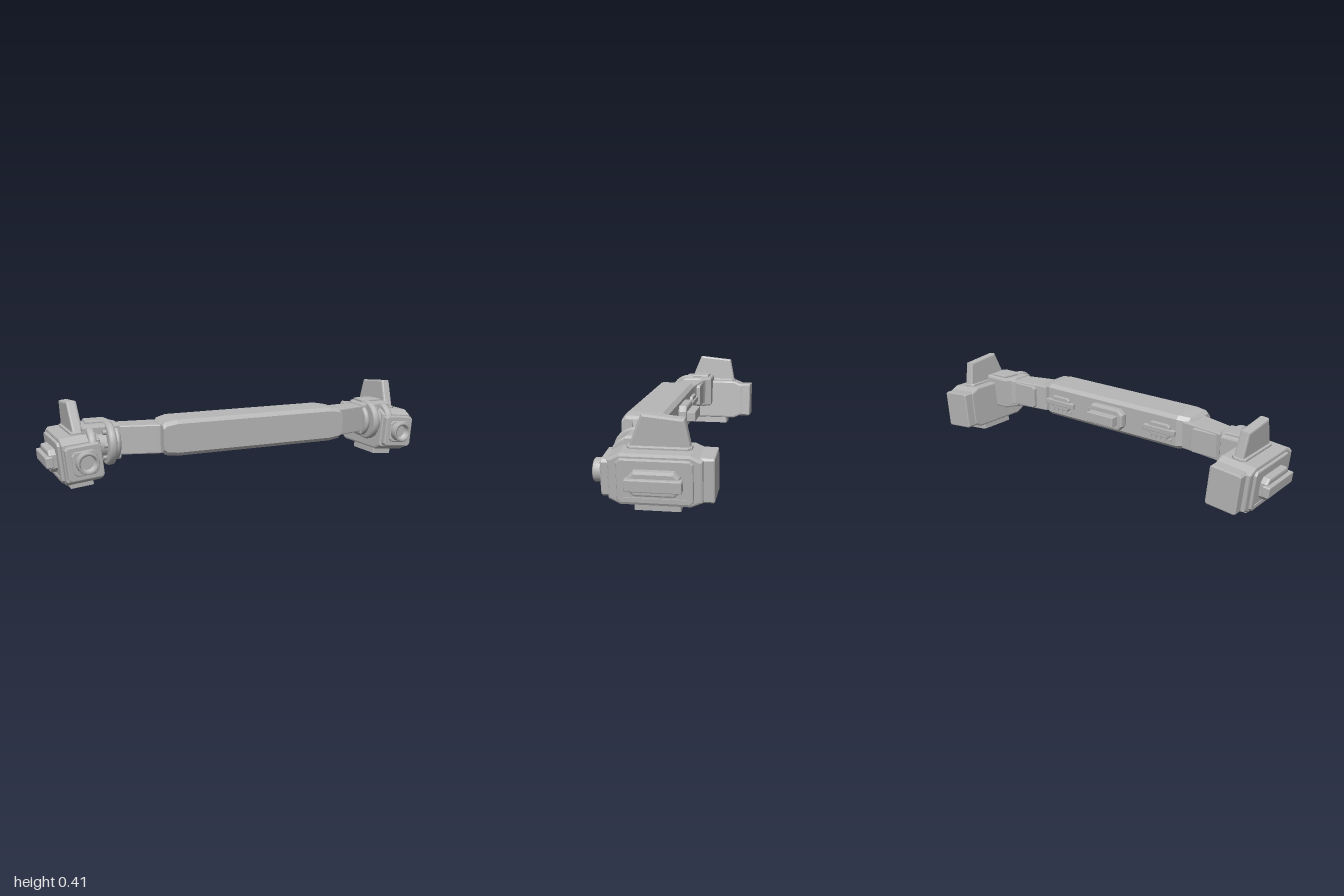
import * as THREE from 'three';

const grey = new THREE.MeshStandardMaterial({ color: 0xb6b6b6 });
grey.name = 'plain grey';

function add(parent, name, geo, x = 0, y = 0, z = 0) {
  const m = new THREE.Mesh(geo, grey);
  m.name = name;
  m.position.set(x, y, z);
  parent.add(m);
  return m;
}

// Extruded outline, centred on its depth, with an inset bevel of size b
function slab(pts, depth, b = 0.008, holes = []) {
  const shape = new THREE.Shape(pts.map(p => new THREE.Vector2(...p)));
  for (const h of holes) shape.holes.push(new THREE.Path(h.map(p => new THREE.Vector2(...p))));
  const g = new THREE.ExtrudeGeometry(shape, {
    depth: depth - 2 * b, bevelEnabled: b > 0, bevelThickness: b, bevelSize: b, bevelOffset: -b,
    bevelSegments: 2, curveSegments: 12,
  });
  return g.translate(0, 0, -(depth - 2 * b) / 2);
}

// Rectangle outline with cut corners
function rect(w, h, c = 0.01, cx = 0, cy = 0) {
  const a = w / 2, b = h / 2;
  return [[-a + c, -b], [a - c, -b], [a, -b + c], [a, b - c], [a - c, b], [-a + c, b], [-a, b - c], [-a, -b + c]]
    .map(([x, y]) => [x + cx, y + cy]);
}

// Box with cut corners, facing z
const block = (w, h, d, c = 0.01, b = 0.006) => slab(rect(w, h, c), d, b);
// Outline given as (z, y), thickness along x
const sideSlab = (pts, t, b) => slab(pts, t, b).rotateY(-Math.PI / 2);
// Outline given as (x, z), thickness along y
const topSlab = (pts, t, b, holes) => slab(pts, t, b, holes).rotateX(Math.PI / 2);

// Main grip: cut-corner sections lofted along x, pinched at the ends
function gripGeometry() {
  const rings = [[-0.48, 0.064, 0.078], [-0.465, 0.078, 0.088], [-0.41, 0.086, 0.1],
    [0.41, 0.086, 0.1], [0.465, 0.078, 0.088], [0.48, 0.064, 0.078]];
  const pos = [], quad = (a, b, c, d) => pos.push(...a, ...b, ...c, ...a, ...c, ...d);
  const sections = rings.map(([x, h, d]) =>
    rect(d * 2, h * 2, 0.018).map(([z, y]) => [x, y, z + 0.1 - d]));
  for (let i = 0; i < sections.length - 1; i++) {
    for (let j = 0; j < 8; j++) {
      const k = (j + 1) % 8, A = sections[i], B = sections[i + 1];
      quad(A[j], A[k], B[k], B[j]);
    }
  }
  const first = sections[0], last = sections[sections.length - 1];
  for (let j = 1; j < 7; j++) {
    pos.push(...first[0], ...first[j + 1], ...first[j]);
    pos.push(...last[0], ...last[j], ...last[j + 1]);
  }
  // Put the outward side of every face in front
  for (let i = 0; i < pos.length; i += 9) {
    const [a, b, c] = [0, 3, 6].map(o => new THREE.Vector3(pos[i + o], pos[i + o + 1], pos[i + o + 2]));
    const n = b.clone().sub(a).cross(c.clone().sub(a));
    const mid = a.clone().add(b).add(c).divideScalar(3);
    if (n.dot(mid) < 0) {
      pos.splice(i + 3, 6, c.x, c.y, c.z, b.x, b.y, b.z);
    }
  }
  const g = new THREE.BufferGeometry();
  g.setAttribute('position', new THREE.Float32BufferAttribute(pos, 3));
  g.computeVertexNormals();
  return g;
}

// Round-edged knuckle disc turning on the x axis
function knuckle(r, t) {
  const e = 0.012, h = t / 2;
  const p = [[0, -h], [r - e, -h], [r - e * 0.3, -h + e * 0.3], [r, -h + e], [r, h - e],
    [r - e * 0.3, h - e * 0.3], [r - e, h], [0, h]].map(q => new THREE.Vector2(...q));
  return new THREE.LatheGeometry(p, 32).rotateZ(Math.PI / 2);
}

function lensGeometry() {
  const p = [[0, 0.01], [0.034, 0.01], [0.036, 0.052], [0.046, 0.055], [0.051, 0.05], [0.051, 0.018],
    [0.046, 0.014], [0.046, 0]].map(q => new THREE.Vector2(...q));
  const g = new THREE.LatheGeometry(p.reverse(), 32).rotateX(Math.PI / 2);
  return g;
}

// Pod at the end of each arm, tilted outward
function makePod(s) {
  const pod = new THREE.Group();
  pod.name = s > 0 ? 'leftPod' : 'rightPod';
  pod.position.set(s * 0.845, 0.15, 0);
  pod.rotation.z = -s * 0.1;

  add(pod, 'podBody', sideSlab([[0.18, -0.085], [0.13, -0.11], [-0.16, -0.11], [-0.21, -0.088],
    [-0.21, 0.088], [-0.16, 0.11], [0.13, 0.11], [0.18, 0.085]], 0.176, 0.01));
  add(pod, 'frontBlock', block(0.165, 0.16, 0.06, 0.012), 0, 0, 0.18);
  add(pod, 'lensMount', block(0.115, 0.112, 0.02, 0.015, 0.004), 0, 0, 0.208);
  add(pod, 'lens', lensGeometry(), -s * 0.005, 0.003, 0.2);
  add(pod, 'rearBlock', block(0.155, 0.19, 0.075, 0.008), -s * 0.008, 0, -0.2175);

  // Outer side panel with raised boss and cross bar
  add(pod, 'sidePanel', sideSlab(rect(0.315, 0.19, 0.015, -0.016, -0.002), 0.03, 0.006), s * 0.086);
  add(pod, 'sideBoss', sideSlab(rect(0.21, 0.106, 0.022, -0.018, 0), 0.045, 0.01), s * 0.112);
  add(pod, 'sideBar', sideSlab(rect(0.234, 0.052, 0.004, -0.018, 0), 0.035, 0.004), s * 0.1355);
  add(pod, 'sideRidge', new THREE.BoxGeometry(0.006, 0.006, 0.26), s * 0.102, -0.072, -0.018);

  // Upright fin
  add(pod, 'finBase', topSlab(rect(0.07, 0.27, 0.015, 0, -0.022), 0.02, 0.005), -s * 0.008, 0.112);
  add(pod, 'fin', sideSlab([[0.112, 0.1], [0.05, 0.256], [-0.128, 0.238], [-0.155, 0.1]], 0.048, 0.009), -s * 0.008);

  // Vent under the pod: frame with three openings
  const slots = [-0.076, -0.017, 0.042].map(z => rect(0.07, 0.038, 0.001, 0, z));
  add(pod, 'bottomVent', topSlab(rect(0.11, 0.195, 0.004, 0, -0.017), 0.045, 0, slots), 0, -0.122);
  return pod;
}

// Angled arm, hinge and pod for one end
function makeSide(s) {
  const side = new THREE.Group();
  side.name = s > 0 ? 'leftEnd' : 'rightEnd';
  const mir = pts => pts.map(([x, z]) => [s * x, z]);

  add(side, 'arm', topSlab(mir([[0.44, 0.04], [0.44, 0.19], [0.49, 0.178], [0.68, 0.125], [0.68, 0.0], [0.64, 0.012]]), 0.138, 0.006), 0, 0.22);
  add(side, 'armRearPlate', block(0.15, 0.12, 0.03, 0.012, 0.004), s * 0.58, 0.22, 0.025);
  add(side, 'hingeHousing', topSlab(mir([[0.655, 0.13], [0.835, 0.13], [0.835, -0.02], [0.82, -0.03], [0.69, -0.03], [0.655, 0.03]]), 0.17, 0.012), 0, 0.215);
  add(side, 'hingeCap', topSlab(mir([[0.69, 0.08], [0.81, 0.08], [0.80, -0.01], [0.70, -0.01]]), 0.03, 0.006), 0, 0.297);

  // Hinge discs with a pin through them
  add(side, 'innerKnuckle', knuckle(0.102, 0.038), s * 0.71, 0.208, 0.105);
  add(side, 'innerCollar', knuckle(0.085, 0.03), s * 0.677, 0.208, 0.085);
  add(side, 'outerKnuckle', knuckle(0.095, 0.038), s * 0.8, 0.198, 0.105);
  add(side, 'hingePin', new THREE.CylinderGeometry(0.06, 0.06, 0.1, 24).rotateZ(Math.PI / 2), s * 0.755, 0.203, 0.105);
  for (const y of [0.15, 0.208, 0.266]) {
    add(side, 'hingeBolt', new THREE.CylinderGeometry(0.012, 0.012, 0.05, 12).rotateZ(Math.PI / 2),
      s * 0.72, y, 0.14 + (y === 0.208 ? 0.02 : 0));
  }

  // Slotted fitting on the back of the grip
  add(side, 'rearFitting', block(0.12, 0.07, 0.02, 0.012, 0.004), s * 0.32, 0.225, 0.025);
  add(side, 'rearFittingBar', block(0.185, 0.028, 0.022, 0.003, 0.003), s * 0.32, 0.225, 0.019);
  for (let i = -2; i <= 2; i++) {
    add(side, 'rearStud', new THREE.BoxGeometry(0.014, 0.012, 0.012), s * 0.32 + i * 0.03, 0.18, 0.028);
  }

  side.add(makePod(s));
  return side;
}

export function createModel() {
  const model = new THREE.Group();
  model.name = 'handleBar';

  add(model, 'grip', gripGeometry(), 0, 0.226, 0.13);

  // Central fitting on the back of the grip
  add(model, 'centreBoss', block(0.22, 0.11, 0.045, 0.025, 0.01), 0, 0.225, 0.0125);
  add(model, 'centrePlate', block(0.165, 0.05, 0.05, 0.003, 0.003), 0, 0.225, -0.026);
  add(model, 'centreRidge', new THREE.BoxGeometry(0.16, 0.008, 0.012), 0, 0.165, 0.028);

  for (const s of [1, -1]) model.add(makeSide(s));
  return model;
}
